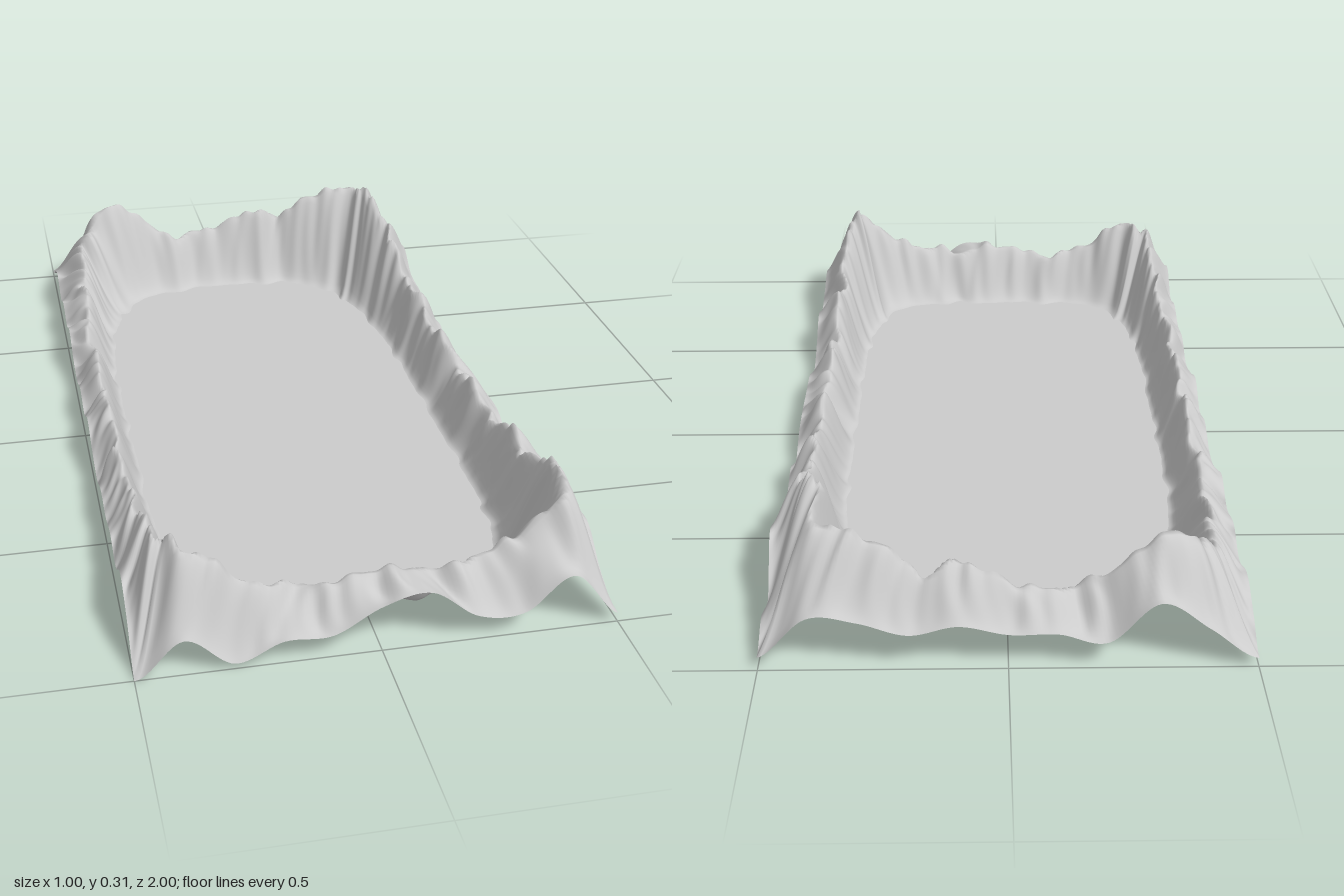
import * as THREE from 'three';

// Heights around the border, one value per 0.1 units, in four runs:
// front (left to right on screen), +x side (front to back), back, -x side (back to front).
const EDGE = [
  0, .08, .012, .05, .05, .105, .125, .055, .05, .125,
  .02, .05, .12, .10, .08, .11, .06, .03, .07, .07, .07, .06, .03, .07, .05, .08, .09, .14, .03, .06,
  .03, .12, .11, .08, .10, .08, .08, .06, .15, .09,
  .02, .06, .09, .06, .09, .07, .10, .06, .05, .08, .06, .10, .07, .05, .08, .07, .09, .07, .12, .08];
const RIDGE = [
  .23, .22, .155, .125, .125, .15, .13, .14, .16, .21,
  .285, .265, .24, .19, .165, .18, .13, .12, .15, .12, .11, .16, .12, .15, .16, .15, .22, .235, .275, .31,
  .28, .26, .24, .18, .20, .16, .14, .15, .23, .25,
  .19, .17, .15, .13, .14, .12, .13, .11, .13, .14, .12, .15, .14, .13, .15, .13, .16, .17, .20, .22];

const PER = 12;                   // stations per 0.1 units
const N = EDGE.length * PER;      // stations round the border
const M = 24;                     // rings from floor to outer edge
const BROAD = [[23, 1], [41, 0.8], [59, 0.5]];
const FINE = [[47, 1], [83, 0.8], [127, 0.4]];

// Closed Catmull-Rom lookup in a height list
function sample(list, s) {
  const n = list.length, i = Math.floor(s), f = s - i;
  const [a, b, c, d] = [-1, 0, 1, 2].map(k => list[(i + k + n) % n]);
  return b + 0.5 * f * (c - a + f * (2 * a - 5 * b + 4 * c - d + f * (3 * (b - c) + d - a)));
}

// Periodic ripple along the border, about -1 to 1
function ripple(waves, u, phase) {
  let v = 0;
  for (const [k, amp] of waves) v += amp * Math.sin(2 * Math.PI * k * u + phase * k + 1.3 * Math.sin(2 * Math.PI * 7 * u + phase));
  return v / 2;
}

// Point on the outer rectangle at s (0..60)
function outer(s) {
  if (s < 10) return [-0.5 + s / 10, 1];
  if (s < 30) return [0.5, 1 - (s - 10) / 10];
  if (s < 40) return [0.5 - (s - 30) / 10, -1];
  return [-0.5, -1 + (s - 40) / 10];
}

// Matching point on the floor outline, rounder at the back
function inner(s) {
  const [x, z] = outer(s);
  const px = x * 2, n = z > 0 ? 5 : 3.7;
  const k = Math.pow(Math.pow(Math.abs(px), n) + Math.pow(Math.abs(z), n), -1 / n);
  const w = k * (1 + 0.015 * ripple(BROAD, s / 60, 2.1));
  return [px * w * (px > 0 ? 0.37 : 0.39), z * w * 0.83];
}

const smooth = t => t * t * (3 - 2 * t);

// Height across the rim: soft foot, crest, falling outer slope
function rimHeight(s, t) {
  const u = s / 60;
  const bent = u + 0.002 * Math.sin(7 * t + 40 * u);      // keeps gullies from running straight
  const inset = 0.1 * Math.exp(-((s - 29) ** 2) / 2);     // highest peak sits further in
  const crest = 0.53 - inset + 0.08 * ripple(BROAD, u, 0.7);
  const ridge = sample(RIDGE, s) + 0.011 * ripple(FINE, u, 0);
  const edge = Math.max(0, sample(EDGE, s));
  if (t < crest) {
    const q = t / crest;
    const gully = 0.014 * ripple(FINE, bent, 1.1) * Math.sin(Math.PI * q) * q;
    return Math.max(0, ridge * (0.7 * smooth(q) + 0.3 * q * q) + gully);
  }
  const q = (t - crest) / (1 - crest);
  const rough = 0.012 * ripple(FINE, bent, 3.3) * Math.sin(Math.PI * q);
  return Math.max(0, ridge + (edge - ridge) * (0.6 * smooth(q) + 0.4 * q) + rough);
}

function surface(name, positions, index) {
  const g = new THREE.BufferGeometry();
  g.setAttribute('position', new THREE.Float32BufferAttribute(positions, 3));
  g.setIndex(index);
  g.computeVertexNormals();
  const mesh = new THREE.Mesh(g, new THREE.MeshStandardMaterial({
    color: 0xcccccc, roughness: 0.9, side: THREE.DoubleSide }));
  mesh.name = name;
  return mesh;
}

export function createModel() {
  const group = new THREE.Group();
  group.name = 'valleyTerrain';

  // Mountain rim swept round the floor
  const rim = [], rimIndex = [];
  // Flat valley floor as a fan
  const floor = [0, 0, 0], floorIndex = [];
  for (let i = 0; i < N; i++) {
    const s = i / PER, [ox, oz] = outer(s), [ix, iz] = inner(s);
    const next = (i + 1) % N;
    floor.push(ix, 0, iz);
    floorIndex.push(0, i + 1, next + 1);
    for (let j = 0; j <= M; j++) {
      const t = j / M;
      rim.push(ix + (ox - ix) * t, rimHeight(s, t), iz + (oz - iz) * t);
      if (j < M) {
        const a = i * (M + 1) + j, b = next * (M + 1) + j;
        rimIndex.push(a, a + 1, b + 1, a, b + 1, b);
      }
    }
  }
  group.add(surface('mountainRim', rim, rimIndex), surface('valleyFloor', floor, floorIndex));
  return group;
}
